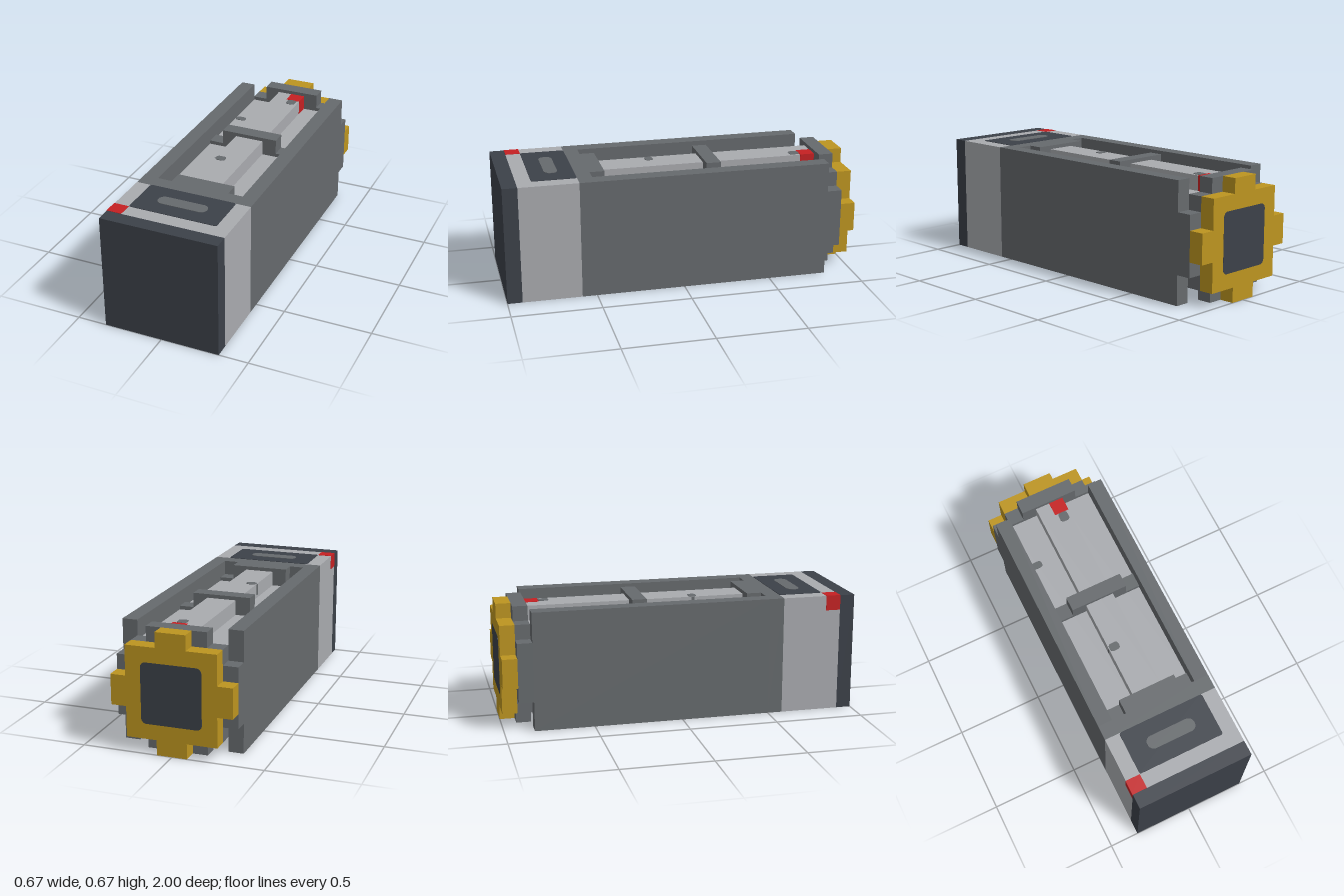
import * as THREE from 'three';

const mat = (name, color) => {
  const m = new THREE.MeshStandardMaterial({ color });
  m.name = name;
  return m;
};

export function createModel() {
  const grey = mat('mid grey', 0x666a6d);
  const light = mat('light grey', 0xa9abaf);
  const dark = mat('dark slate', 0x3c4149);
  const gold = mat('gold', 0xbd9520);
  const red = mat('red', 0xc52022);

  // everything is laid out on a 24-step grid along the length
  const root = new THREE.Group();
  root.name = 'casing';
  const body = new THREE.Group();
  body.name = 'body';
  body.scale.setScalar(1 / 12);
  root.add(body);

  const add = (name, geometry, material) => {
    const mesh = new THREE.Mesh(geometry, material);
    mesh.name = name;
    body.add(mesh);
    return mesh;
  };
  // box from its lower and upper corners
  const box = (name, m, x0, x1, y0, y1, z0, z1) =>
    add(name, new THREE.BoxGeometry(x1 - x0, y1 - y0, z1 - z0), m)
      .position.set((x0 + x1) / 2, (y0 + y1) / 2, (z0 + z1) / 2);

  // square with a tab on each side, extruded along z
  const tabbed = (name, m, hx, hy, tab, reachX, reachY, z0, z1) => {
    const q = [[reachX, 0], [reachX, tab], [hx, tab], [hx, hy], [tab, hy], [tab, reachY]];
    const pts = [
      ...q.map(([x, y]) => [x, y]),
      ...[...q].reverse().map(([x, y]) => [-x, y]),
      ...q.map(([x, y]) => [-x, -y]),
      ...[...q].reverse().map(([x, y]) => [x, -y]),
    ].filter(([, y]) => y !== 0).map(([x, y]) => new THREE.Vector2(x, y));
    const g = new THREE.ExtrudeGeometry(new THREE.Shape(pts), { depth: z1 - z0, bevelEnabled: false });
    add(name, g, m).position.set(0, 4, z0);
  };

  // thin rounded plate, centred in its own xy plane
  const plate = (w, h, r) => {
    const s = new THREE.Shape();
    const x = w / 2, y = h / 2;
    s.moveTo(-x + r, -y);
    s.lineTo(x - r, -y);
    s.absarc(x - r, -y + r, r, -Math.PI / 2, 0);
    s.absarc(x - r, y - r, r, 0, Math.PI / 2);
    s.absarc(-x + r, y - r, r, Math.PI / 2, Math.PI);
    s.absarc(-x + r, -y + r, r, Math.PI, Math.PI * 1.5);
    return new THREE.ExtrudeGeometry(s, { depth: 0.03, bevelEnabled: false, curveSegments: 5 });
  };

  // front cap, light block and the solid end of the housing
  box('frontCap', dark, -4, 4, 0, 8, 11, 12);
  box('headBlock', light, -4, 4, 0, 8, 7, 11);
  box('housingEnd', grey, -4, 4, 0, 8, 6, 7);
  box('cornerMarker', red, -4.02, -3, 7, 8.02, 10, 11);

  // painted panel and slot on top of the head block
  const panel = add('topPanel', plate(6, 3, 0.15), dark);
  panel.rotation.x = -Math.PI / 2;
  panel.position.set(0, 8, 8.5);
  const slot = add('topSlot', plate(3.4, 0.9, 0.42), grey);
  slot.rotation.x = -Math.PI / 2;
  slot.position.set(0, 8.03, 8.5);

  // side walls
  for (const s of [-1, 1]) {
    box(s < 0 ? 'rightWall' : 'leftWall', grey, s * 3.5 - 0.5, s * 3.5 + 0.5, 0, 8, -10, 6);
  }

  // inner core and the collars around it
  tabbed('core', light, 3, 2.75, 1, 3.5, 3.75, -10, 5);
  tabbed('frontCollar', grey, 3, 3, 2, 3.5, 4, 5, 6);
  tabbed('middleCollar', grey, 3, 3, 2, 3.5, 4, -3, -2);
  tabbed('rearCollar', grey, 3, 3, 2, 4, 4, -11, -10);

  // gold end gear with dark centre
  tabbed('endGear', gold, 3, 3, 1, 4, 4, -12, -11);
  const hub = add('gearCentre', plate(4, 4, 0.35), dark);
  hub.rotation.y = Math.PI;
  hub.position.set(0, 4, -11.98);

  // red marker on the core ridge
  box('ridgeMarker', red, 0, 1.02, 6.75, 7.77, -10, -9);

  // worn spots on the core, above and below
  for (const s of [-1, 1]) {
    for (const [x, z, w, h, y] of [[0.5, -8.65, 0.65, 0.7, 3.75], [-2.6, -6.55, 0.75, 0.5, 2.75], [-0.6, 1.45, 0.7, 0.55, 3.75]]) {
      const spot = add('wornSpot', plate(w, h, 0.2), grey);
      spot.rotation.x = -s * Math.PI / 2;
      spot.position.set(x, 4 + s * y, z);
    }
    const y = 4 + s * 3.35;
    box('ridgeScratch', grey, -1.03, -1, y - 0.38, y + 0.38, 1.35, 1.55);
  }
  return root;
}
